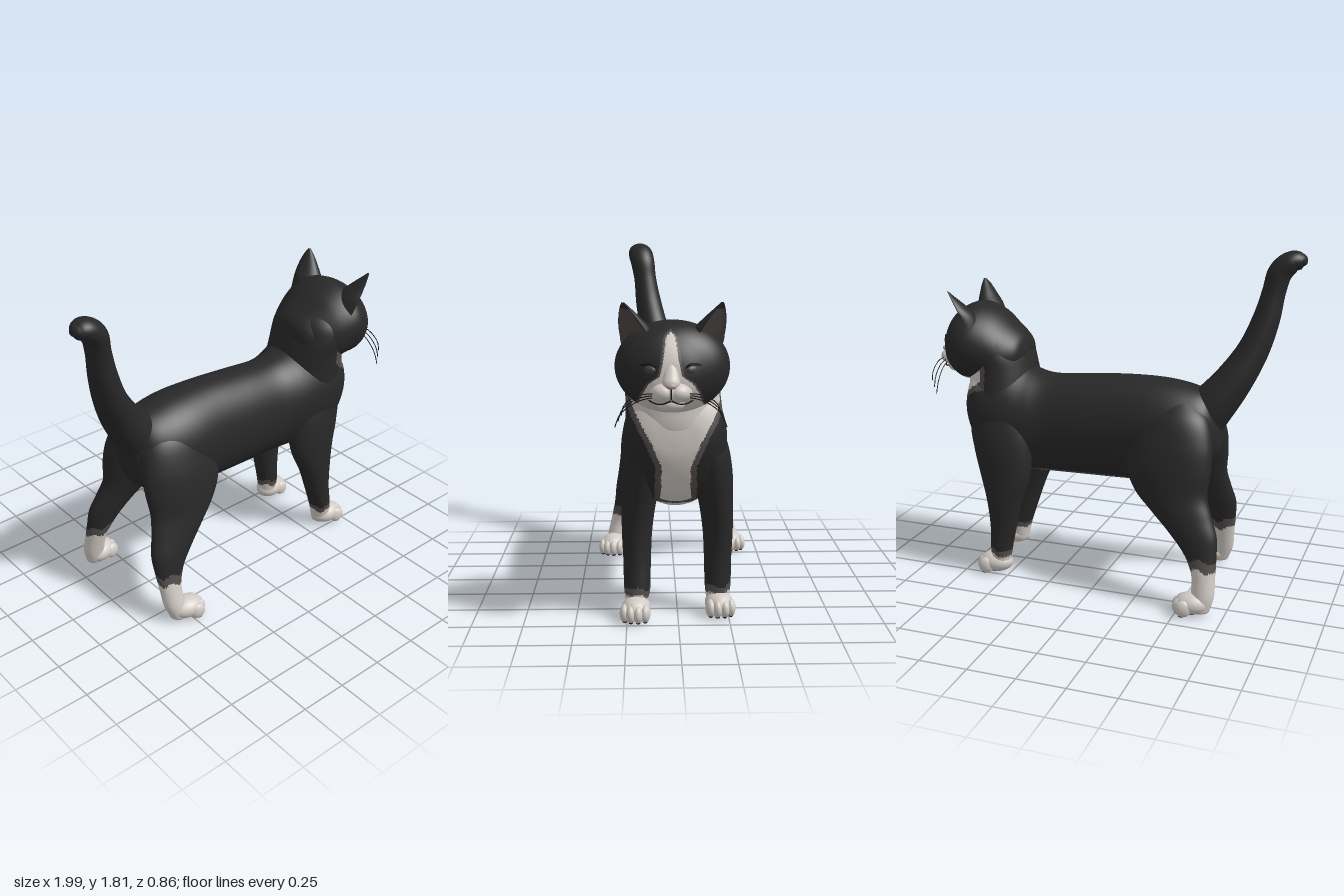
import * as THREE from 'three';

const colour = (name, hex) => Object.assign(new THREE.MeshStandardMaterial({ color: hex }), { name });

// Smooth skin through sections [x, y, z, radiusU, radiusV].
// axis 'x': U = y, V = z; axis 'y': U = z, V = x; otherwise rings follow the path with V near z.
function loft(sections, axis, segs = 32, per = 6) {
  const curve = f => new THREE.CatmullRomCurve3(sections.map(f), false, 'catmullrom');
  const path = curve(s => new THREE.Vector3(s[0], s[1], s[2]));
  const radii = curve(s => new THREE.Vector3(s[3], s[4], 0));
  const rings = (sections.length - 1) * per, pos = [], index = [];
  const U = new THREE.Vector3(), V = new THREE.Vector3();
  for (let i = 0; i <= rings; i++) {
    const t = i / rings, c = path.getPoint(t), r = radii.getPoint(t);
    if (axis === 'x') { U.set(0, 1, 0); V.set(0, 0, 1); }
    else if (axis === 'y') { U.set(0, 0, 1); V.set(1, 0, 0); }
    else {
      const T = path.getTangent(t);
      U.set(0, 0, 1).cross(T).normalize();
      V.crossVectors(T, U);
    }
    for (let j = 0; j < segs; j++) {
      const a = j / segs * Math.PI * 2;
      const p = c.clone().addScaledVector(U, Math.max(r.x, 0.001) * Math.cos(a))
        .addScaledVector(V, Math.max(r.y, 0.001) * Math.sin(a));
      pos.push(p.x, p.y, p.z);
      if (i < rings) {
        const k = (j + 1) % segs, b = i * segs, n = b + segs;
        index.push(b + j, b + k, n + j, b + k, n + k, n + j);
      }
    }
  }
  // end caps
  const first = pos.length / 3, last = rings * segs;
  pos.push(...path.getPoint(0).toArray(), ...path.getPoint(1).toArray());
  for (let j = 0; j < segs; j++) {
    const k = (j + 1) % segs;
    index.push(first, k, j, first + 1, last + j, last + k);
  }
  const g = new THREE.BufferGeometry();
  g.setAttribute('position', new THREE.Float32BufferAttribute(pos, 3));
  g.setIndex(index);
  g.computeVertexNormals();
  return g;
}

// Sorts faces into material groups; rule(x, y, z) gives the material number.
function paint(g, count, rule) {
  const p = g.attributes.position, idx = g.index.array;
  const bins = Array.from({ length: count }, () => []);
  for (let i = 0; i < idx.length; i += 3) {
    const f = [idx[i], idx[i + 1], idx[i + 2]];
    const mid = k => (p[k](f[0]) + p[k](f[1]) + p[k](f[2])) / 3;
    bins[rule(mid('getX'), mid('getY'), mid('getZ'))].push(...f);
  }
  g.setIndex(bins.flat());
  let start = 0;
  bins.forEach((b, m) => { g.addGroup(start, b.length, m); start += b.length; });
  return g;
}

// Piecewise linear value through [t, value] pairs.
function ramp(t, pts) {
  const i = pts.findIndex(p => t <= p[0]);
  if (i <= 0) return pts[i ? pts.length - 1 : 0][1];
  return THREE.MathUtils.mapLinear(t, pts[i - 1][0], pts[i][0], pts[i - 1][1], pts[i][1]);
}

export function createModel() {
  const black = colour('black fur', 0x282828), white = colour('white fur', 0xd2cbc5);
  const grey = colour('grey fur edge', 0x524e4c), earPink = colour('inner ear', 0x4f4846);
  const nosePink = colour('nose', 0xb3a099), eyeDark = colour('eye', 0x47423f);
  const pad = colour('paw pad', 0x1a1919);
  const coat = [white, grey, black];
  const zone = (d, band) => (d < 0 ? 0 : d < band ? 1 : 2);

  const model = new THREE.Group(), head = new THREE.Group();
  model.name = 'cat';
  head.name = 'head';
  model.add(head);
  const add = (parent, name, geo, mat) => {
    const m = new THREE.Mesh(geo, mat);
    m.name = name;
    parent.add(m);
    return m;
  };
  const sphere = new THREE.SphereGeometry(1, 24, 16);
  const ball = (parent, name, mat, x, y, z, rx, ry, rz) => {
    const m = add(parent, name, sphere, mat);
    m.position.set(x, y, z);
    m.scale.set(rx, ry, rz);
    return m;
  };
  const hair = (name, pts, r) => add(head, name, new THREE.TubeGeometry(
    new THREE.CatmullRomCurve3(pts.map(p => new THREE.Vector3(...p))), 10, r, 5), pad);

  // Torso and neck with white chest and belly
  const C = 0.012;
  const bib = (x, y, z) => {
    const w = ramp(y, [[.57, .075], [.78, .068], [.9, .118], [1.05, .2], [1.15, .23]]);
    return zone(Math.max(Math.abs(z - C) - w, Math.min(.655 - x, y - .583), -.33 - x), .03);
  };
  const torso = loft([
    [-.63, .86, C, .05, .05], [-.615, .87, C, .12, .1], [-.56, .88, C, .2, .17], [-.45, .87, C, .25, .215],
    [-.3, .86, C, .28, .23], [-.1, .855, C, .285, .215], [.1, .845, C, .28, .21], [.3, .835, C, .275, .205],
    [.42, .845, C, .285, .228], [.52, .87, C, .31, .245], [.6, .885, C, .325, .25], [.68, .91, C, .295, .24],
    [.74, .93, C, .21, .2], [.775, .93, C, .11, .13], [.785, .93, C, .03, .03]], 'x', 120, 10);
  add(model, 'torso', paint(torso, 3, bib), coat);
  const neck = loft([
    [.57, .78, C, .1, .1], [.58, .86, C, .2, .17], [.59, .96, C, .235, .195], [.602, 1.05, .02, .232, .188],
    [.609, 1.13, .025, .228, .178], [.625, 1.22, .03, .23, .167], [.645, 1.31, .03, .205, .147],
    [.68, 1.4, .03, .12, .085]], 'y', 96, 10);
  add(model, 'neck', paint(neck, 3, bib), coat);

  // Tail
  add(model, 'tail', loft([
    [-.46, .88, .015, .14, .12], [-.56, 1, .02, .12, .115], [-.665, 1.14, .05, .1, .095], [-.755, 1.3, .1, .082, .085],
    [-.81, 1.46, .135, .07, .075], [-.84, 1.6, .155, .06, .065], [-.865, 1.7, .17, .062, .07],
    [-.92, 1.755, .185, .056, .07], [-.97, 1.76, .19, .04, .05], [-.995, 1.755, .19, .012, .02]]), black);

  // Head with white blaze and throat
  const skull = loft([
    [.46, 1.21, .025, .04, .06], [.485, 1.21, .025, .1, .14], [.55, 1.2, .025, .168, .2], [.64, 1.235, .03, .205, .245],
    [.73, 1.26, .03, .215, .268], [.8, 1.255, .03, .206, .257], [.86, 1.25, .035, .172, .214], [.905, 1.235, .04, .128, .145],
    [.932, 1.22, .04, .08, .085], [.943, 1.215, .04, .02, .03]], 'x', 120, 12);
  add(head, 'skull', paint(skull, 3, (x, y, z) => {
    const w = ramp(y, [[1.07, .16], [1.15, .13], [1.2, .1], [1.235, .05], [1.3, .036], [1.41, .02], [1.445, -.015]]);
    const face = Math.max(Math.abs(z - .04) - w, .79 - x);
    return zone(Math.min(face, Math.max(y - 1.08, .7 - x)), .011);
  }), coat);
  add(head, 'noseBridge', loft([
    [.86, 1.36, .04, .025, .022], [.905, 1.29, .04, .025, .03], [.933, 1.23, .04, .03, .038],
    [.95, 1.195, .04, .03, .038], [.957, 1.17, .04, .01, .012]]), white);
  ball(head, 'muzzle', white, .9, 1.16, .04, .078, .06, .1);
  ball(head, 'chin', white, .905, 1.108, .04, .052, .04, .065);
  ball(head, 'nose', nosePink, .973, 1.195, .04, .02, .015, .026);
  hair('mouthCleft', [[.99, 1.185, .04], [.985, 1.165, .04], [.972, 1.135, .04]], .003);

  for (const s of [1, -1]) {
    const z = d => .04 + s * d;
    ball(head, 'muzzlePad', white, .928, 1.16, z(.034), .055, .044, .056);
    hair('mouthLine', [[.966, 1.13, z(0)], [.962, 1.115, z(.03)], [.938, 1.112, z(.07)], [.905, 1.122, z(.1)]], .0035);
    ball(head, 'eye', eyeDark, .907, 1.262, z(.1), .02, .023, .04).rotation.y = -s * .75;
    hair('upperEyelid', [[.928, 1.268, z(.062)], [.926, 1.288, z(.09)], [.898, 1.282, z(.14)]], .006);

    // whiskers
    for (let i = 0; i < 3; i++) {
      hair('whisker', [[.95 - i * .012, 1.16 - i * .01, z(.07)], [.95 - i * .015, 1.15 - i * .015, z(.15)],
        [.95 - i * .02, 1.11 - i * .025, z(.21 + i * .01)], [.95 - i * .02, 1.06 - i * .03, z(.225 + i * .015)]], .0025);
    }

    // ear: a cone whose outward-facing front is lined and pushed in to make the hollow
    const ez = v => .03 + s * (v - .03);
    const depth = (x, y, zz) => (x - .75 - (y - 1.32) * .33) * .82 + s * (zz - ez(.18 + (y - 1.32) * .32)) * .57;
    const ear = paint(loft([
      [.75, 1.32, ez(.18), .105, .09], [.768, 1.42, ez(.2), .086, .07], [.795, 1.48, ez(.228), .062, .046],
      [.818, 1.53, ez(.25), .032, .023], [.828, 1.56, ez(.257), .007, .006]], 'y', 48, 8), 2,
    (x, y, zz) => (depth(x, y, zz) > .012 && y < 1.53 ? 1 : 0));
    const p = ear.attributes.position;
    for (let i = 0; i < p.count; i++) {
      const push = 1.3 * Math.max(0, depth(p.getX(i), p.getY(i), p.getZ(i)));
      p.setXYZ(i, p.getX(i) - push * .82, p.getY(i), p.getZ(i) - s * push * .57);
    }
    ear.computeVertexNormals();
    add(head, 'ear', ear, [black, earPink]);
  }

  // Paw with four toes and dark pads, pointing along +x
  function paw(name, x, z, yaw) {
    const g = new THREE.Group();
    g.name = name;
    g.position.set(x, 0, z);
    g.rotation.y = yaw;
    model.add(g);
    ball(g, 'foot', white, .005, .06, 0, .092, .058, .07);
    ball(g, 'solePad', pad, .01, .011, 0, .035, .011, .035);
    [-.05, -.018, .018, .05].forEach(o => {
      const reach = Math.abs(o) > .03 ? .052 : .068;
      ball(g, 'toe', white, reach, .047, o, .042, .045, .025);
      ball(g, 'toePad', pad, reach + .008, .01, o, .016, .01, .012);
    });
  }

  // Legs, listed from foot to hip
  const foreleg = [
    [.62, .03, .2, .05, .05], [.607, .14, .2, .064, .06], [.575, .28, .2, .068, .075], [.55, .42, .2, .075, .1],
    [.53, .56, .19, .085, .14], [.54, .7, .172, .1, .165], [.56, .84, .145, .105, .175], [.57, .98, .108, .09, .14],
    [.57, 1.06, .08, .04, .06]];
  const hindleg = [
    [-.555, .02, .34, .045, .05], [-.575, .1, .33, .052, .06], [-.583, .2, .308, .052, .062], [-.57, .3, .285, .055, .085],
    [-.535, .4, .265, .065, .125], [-.475, .5, .24, .075, .16], [-.42, .6, .212, .09, .195], [-.4, .72, .188, .105, .225],
    [-.41, .85, .155, .11, .21], [-.42, .98, .11, .1, .16], [-.42, 1.07, .08, .04, .06]];
  for (const s of [1, -1]) {
    const side = s > 0 ? 'left' : 'right', back = s > 0 ? 0 : .072;
    // the right feet stand a little further back
    const place = secs => secs.map(([x, y, z, a, b]) => [x - back * Math.max(0, 1 - y / .6), y, s * z, a, b]);
    const sock = (secs, top, band) => paint(loft(place(secs), 'y', 40, 8), 3,
      (x, y, z) => zone(y - top + .012 * Math.sin(x * 60 + z * 45), band));
    add(model, side + 'ForeLeg', sock(foreleg, .115, .035), coat);
    add(model, side + 'HindLeg', sock(hindleg, .24, .05), coat);
    paw(side + 'ForePaw', .65 - back, s * .205, -s * .1);
    paw(side + 'HindPaw', -.52 - back, s * .345, -s * .25);
  }
  return model;
}
